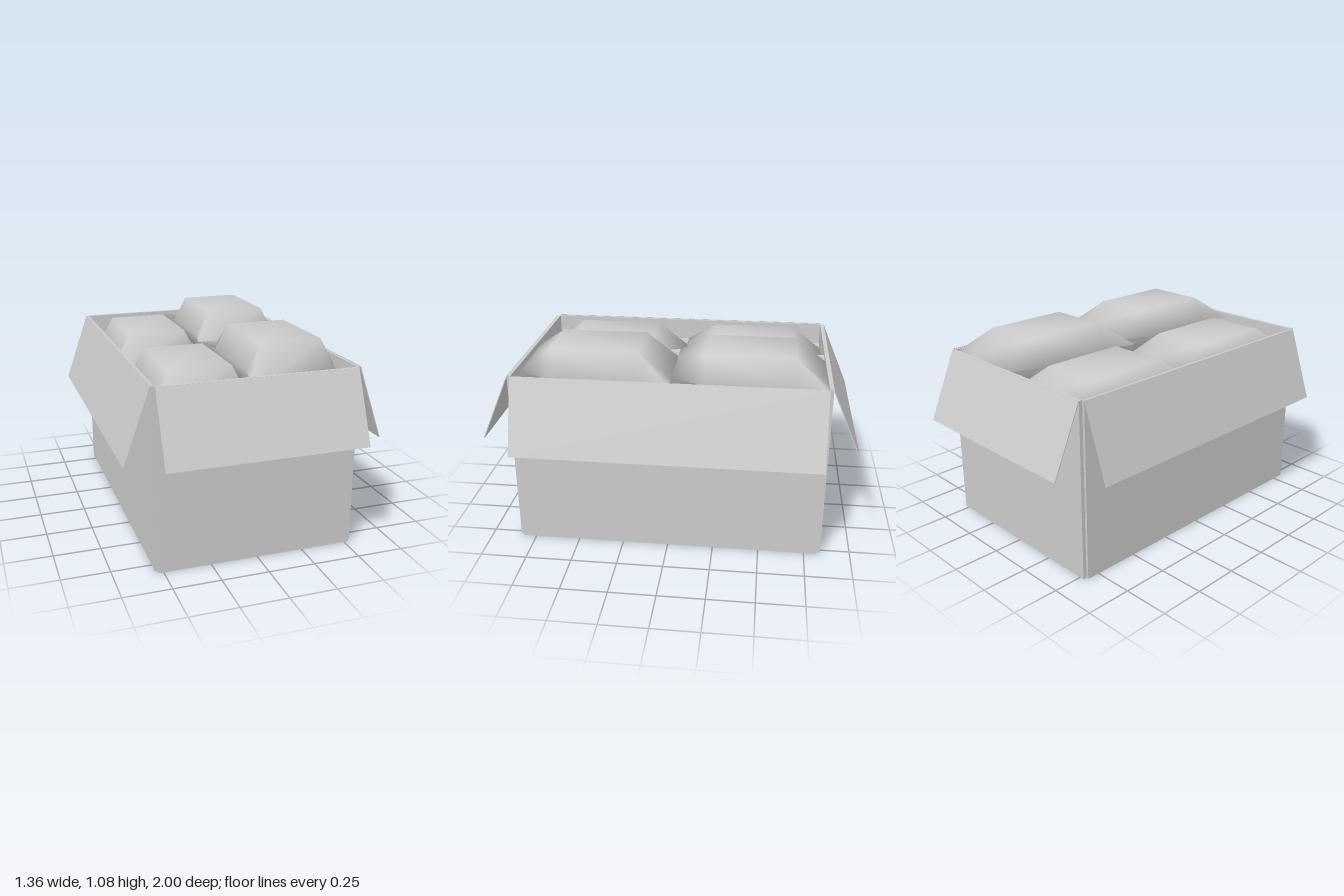
import * as THREE from 'three';
import { mergeGeometries, mergeVertices } from 'three/addons/utils/BufferGeometryUtils.js';

const material = new THREE.MeshStandardMaterial({ color: 0xcccccc });

function addBox(parent, name, size, position) {
  const mesh = new THREE.Mesh(new THREE.BoxGeometry(...size), material);
  mesh.name = name;
  mesh.position.set(...position);
  parent.add(mesh);
  return mesh;
}

// Thin board folded outward and down from a rim at distance `out`, facing +z before turning
function makeFlap(name, width, out, top, reach, drop, turn) {
  const pivot = new THREE.Group();
  pivot.name = name;
  const length = Math.hypot(reach, drop);
  const board = addBox(pivot, name + 'Board', [width, length, 0.005],
    [0, top - drop / 2, out + reach / 2]);
  board.rotation.x = -Math.atan2(reach, drop);
  pivot.rotation.y = turn;
  return pivot;
}

// Pillow bag: two puffed sheets joined at a seam, sides pulled in between the corners
function makeBagGeometry() {
  const xs = [-0.285, -0.165, 0.165, 0.285];
  const zs = [-0.41, -0.235, 0.235, 0.41];
  const sheet = new THREE.PlaneGeometry(1, 1, 3, 3);
  const p = sheet.attributes.position;
  for (let i = 0; i < 16; i++) {
    const c = i % 4, r = Math.floor(i / 4);
    const sideEdge = c === 0 || c === 3, endEdge = r === 0 || r === 3;
    const x = sideEdge && !endEdge ? Math.sign(xs[c]) * 0.242 : xs[c];
    p.setXYZ(i, x, sideEdge || endEdge ? 0 : 0.135, zs[r]);
  }
  const under = sheet.clone().rotateX(Math.PI);
  const both = mergeGeometries([sheet, under]);
  both.deleteAttribute('normal');
  both.deleteAttribute('uv');
  const bag = mergeVertices(both, 1e-4);
  bag.computeVertexNormals();
  return bag;
}

export function createModel() {
  const model = new THREE.Group();
  model.name = 'openCartonOfBags';

  // Carton floor and walls, leaving a narrow groove at each corner
  const carton = new THREE.Group();
  carton.name = 'carton';
  model.add(carton);
  addBox(carton, 'floor', [1.06, 0.006, 1.65], [0, 0.003, 0]);
  for (const [s, end, side] of [[1, 'front', 'left'], [-1, 'back', 'right']]) {
    addBox(carton, end + 'Wall', [1.05, 0.966, 0.02], [0, 0.483, s * 0.83]);
    addBox(carton, side + 'Wall', [0.014, 0.966, 1.64], [s * 0.532, 0.483, 0]);
    carton.add(makeFlap(end + 'Flap', 1.05, 0.84, 0.965, 0.158, 0.365, s > 0 ? 0 : Math.PI));
    carton.add(makeFlap(side + 'Flap', 1.64, 0.542, 0.968, 0.138, 0.395, s * Math.PI / 2));
  }

  // Four stacks of bags; the left-hand pair stands higher
  const bagGeometry = makeBagGeometry();
  for (const [x, topSeam] of [[0.241, 0.945], [-0.243, 0.846]]) {
    for (const z of [-0.417, 0.402]) {
      const stack = new THREE.Group();
      stack.name = 'bagStack';
      for (let layer = 0; layer < 4; layer++) {
        const bag = new THREE.Mesh(bagGeometry, material);
        bag.name = 'bag';
        bag.position.set(x, THREE.MathUtils.lerp(0.145, topSeam, layer / 3), z);
        stack.add(bag);
      }
      model.add(stack);
    }
  }
  return model;
}
